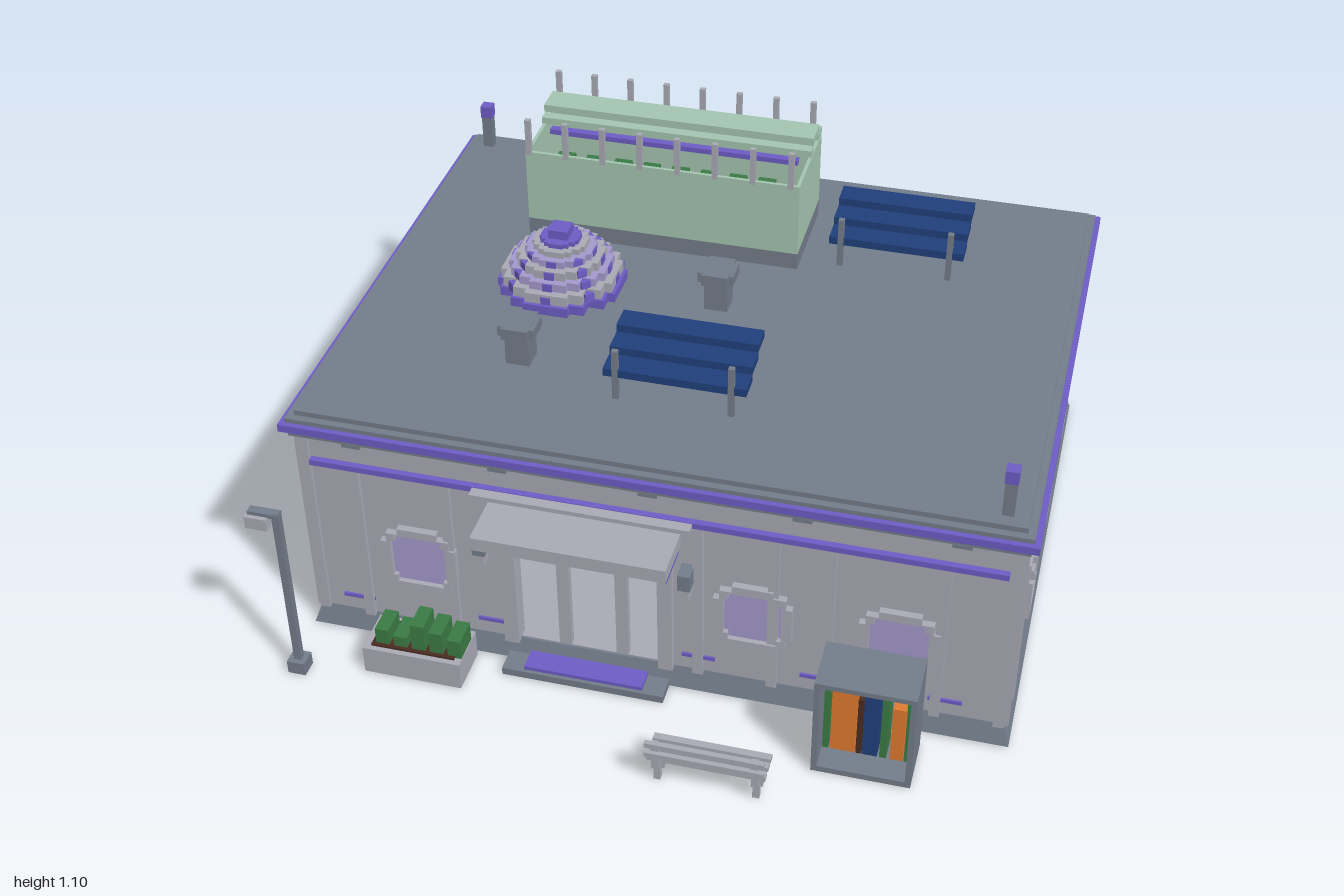
import * as THREE from 'three';

const mat = (name, color) => {
  const m = new THREE.MeshStandardMaterial({ color });
  m.name = name;
  return m;
};
const M = {
  wall: mat('light grey', 0xa8a9b4),
  slate: mat('slate', 0x737c8a),
  purple: mat('purple', 0x6d5cc4),
  glass: mat('lavender glass', 0xa499cc),
  mint: mat('mint green', 0xa3c4af),
  leaf: mat('leaf green', 0x3a7a44),
  navy: mat('navy', 0x213f7a),
  orange: mat('orange', 0xe07a30),
  soil: mat('soil brown', 0x4a2c22),
  dark: mat('neutral grey', 0x949494),
};

// Box given by its minimum and maximum corners
function box(parent, name, material, x0, x1, y0, y1, z0, z1) {
  const m = new THREE.Mesh(new THREE.BoxGeometry(x1 - x0, y1 - y0, z1 - z0), material);
  m.position.set((x0 + x1) / 2, (y0 + y1) / 2, (z0 + z1) / 2);
  m.name = name;
  parent.add(m);
  return m;
}

function group(parent, name, x = 0, y = 0, z = 0, ry = 0) {
  const g = new THREE.Group();
  g.name = name;
  g.position.set(x, y, z);
  g.rotation.y = ry;
  parent.add(g);
  return g;
}

// Stepped round outline made from one quadrant of stairs
function stepped(Type, stairs) {
  const quarter = [];
  stairs.forEach(([x, y], i) => {
    quarter.push([x, y]);
    if (i < stairs.length - 1) quarter.push([stairs[i + 1][0], y]);
  });
  const rev = [...quarter].reverse();
  const pts = [
    ...quarter, ...rev.map(([x, y]) => [-x, y]),
    ...quarter.map(([x, y]) => [-x, -y]), ...rev.map(([x, y]) => [x, -y]),
  ];
  return new Type(pts.map(([x, y]) => new THREE.Vector2(x, y)));
}
const OUTER = [[0.105, 0.055], [0.088, 0.085], [0.055, 0.105]];
const INNER = [[0.077, 0.06], [0.065, 0.08]];

function roundWindow(parent, u) {
  const g = group(parent, 'window', u, 0.295, 0);
  const shape = stepped(THREE.Shape, OUTER);
  shape.holes.push(stepped(THREE.Path, INNER));
  const frame = new THREE.Mesh(new THREE.ExtrudeGeometry(shape, { depth: 0.02, bevelEnabled: false }), M.wall);
  frame.name = 'windowFrame';
  g.add(frame);
  box(g, 'windowPane', M.glass, -0.08, 0.08, -0.082, 0.082, 0, 0.006);
}

// Trim of one wall; u runs to the right as seen from outside
function wallTrim(parent, name, pos, ry, half, windows, ribs, dashes, bandMat) {
  const g = group(parent, name, pos[0], 0, pos[1], ry);
  windows.forEach(u => roundWindow(g, u));
  ribs.forEach(u => box(g, 'wallRib', M.wall, u - 0.014, u + 0.014, 0.06, 0.575, 0, 0.014));
  dashes.forEach(u => box(g, 'baseDash', M.purple, u - 0.045, u + 0.045, 0.109, 0.12, 0, 0.006));
  box(g, 'upperBand', bandMat, -half + 0.03, half - 0.03, 0.573, 0.59, 0, 0.018);
  for (const s of [-1, 1]) box(g, 'cornerPilaster', M.wall, s * (half - 0.013) - 0.015, s * (half - 0.013) + 0.015, 0.06, 0.66, -0.01, 0.012);
  for (let i = -2; i <= 2; i++) box(g, 'corniceBracket', M.slate, i * half * 0.42 - 0.025, i * half * 0.42 + 0.025, 0.65, 0.662, 0, 0.016);
}

function building(root) {
  const g = group(root, 'building');
  // Plinth with sloping sides
  const plinth = box(g, 'plinth', M.slate, -0.95, 0.985, 0.004, 0.065, -0.93, 0.58);
  const p = plinth.geometry.attributes.position;
  for (let i = 0; i < p.count; i++) if (p.getY(i) > 0) p.setXYZ(i, p.getX(i) * 0.978, p.getY(i), p.getZ(i) * 0.975);
  plinth.geometry.computeVertexNormals();
  // Underside with inlaid plates, and the floor
  box(g, 'underside', M.dark, -0.92, 0.955, 0.002, 0.004, -0.9, 0.55);
  box(g, 'undersidePlate', M.wall, 0.32, 0.56, 0, 0.002, -0.27, -0.08);
  box(g, 'undersidePlate', M.purple, -0.72, -0.44, 0, 0.002, -0.34, -0.14);
  for (const x of [-0.7, -0.25, 0.2, 0.65]) for (const z of [-0.6, 0.1, 0.4]) box(g, 'undersideStud', M.purple, x - 0.02, x + 0.02, 0, 0.002, z - 0.015, z + 0.015);
  box(g, 'floor', M.wall, -0.9, 0.93, 0.06, 0.067, -0.89, 0.555);
  // Walls with a doorway in front
  box(g, 'rightWall', M.wall, 0.935, 0.965, 0.06, 0.67, -0.915, 0.56);
  box(g, 'leftWall', M.wall, -0.93, -0.9, 0.06, 0.67, -0.915, 0.56);
  box(g, 'backWall', M.wall, -0.93, 0.965, 0.06, 0.67, -0.915, -0.885);
  box(g, 'frontWall', M.wall, -0.93, -0.35, 0.06, 0.67, 0.53, 0.56);
  box(g, 'frontWall', M.wall, 0.04, 0.965, 0.06, 0.67, 0.53, 0.56);
  box(g, 'doorLintel', M.wall, -0.35, 0.04, 0.49, 0.67, 0.53, 0.56);
  const sideW = [-0.22, 0.175, 0.57], sideR = [-0.45, -0.035, 0.21, 0.38, 0.81];
  wallTrim(g, 'frontTrim', [0.0175, 0.56], 0, 0.9475, [-0.637, 0.277, 0.66],
    [-0.8, -0.55, 0.13, 0.33, 0.475, 0.765], [-0.83, -0.44, 0.13, 0.45, 0.79], M.purple);
  wallTrim(g, 'backTrim', [0.0175, -0.915], Math.PI, 0.9475, [-0.635, -0.235, 0.17, 0.58],
    [-0.84, -0.435, -0.03, 0.375, 0.785], [-0.85, -0.65, -0.45, -0.25, -0.05, 0.15, 0.35, 0.55, 0.75], M.purple);
  wallTrim(g, 'rightTrim', [0.965, -0.1775], Math.PI / 2, 0.7375, sideW.map(u => u - 0.1775),
    sideR.map(u => u - 0.1775), [], M.wall);
  wallTrim(g, 'leftTrim', [-0.93, -0.1775], -Math.PI / 2, 0.7375, sideW.map(u => 0.1775 - u),
    sideR.map(u => 0.1775 - u), [-0.6, -0.3, 0, 0.3, 0.6], M.wall);
  // Roof layers
  box(g, 'cornice', M.slate, -0.95, 0.98, 0.66, 0.68, -0.925, 0.575);
  box(g, 'roofTrim', M.purple, -0.97, 1.0, 0.68, 0.702, -0.945, 0.59);
  box(g, 'roof', M.slate, -0.955, 0.985, 0.702, 0.715, -0.93, 0.575);
  box(g, 'roofTop', M.slate, -0.935, 0.965, 0.715, 0.73, -0.91, 0.555);
  // Display cabinets and back wall window inside
  box(g, 'innerPane', M.glass, -0.23, -0.08, 0.22, 0.38, -0.885, -0.879);
  [-0.31, -0.16, 0].forEach((x, i) => {
    box(g, 'cabinetBase', M.wall, x - 0.04, x + 0.04, 0.067, 0.17, -0.7, -0.55);
    box(g, 'cabinet', M.slate, x - 0.04, x + 0.04, 0.17, 0.25, -0.7, -0.55);
    box(g, 'cabinetTop', M.slate, x - 0.04, x + 0.04, 0.255, 0.285, -0.7, -0.55);
    box(g, 'cabinetItem', i === 2 ? M.orange : M.leaf, x - 0.005, x + 0.02, 0.285, 0.305, -0.64, -0.61);
  });
  box(g, 'cabinetLabel', M.orange, -0.03, 0.0, 0.18, 0.21, -0.55, -0.545);
}

function entrance(root) {
  const g = group(root, 'entrance');
  for (const x of [-0.37, 0.06]) box(g, 'doorPost', M.wall, x - 0.02, x + 0.02, 0.06, 0.49, 0.53, 0.58);
  for (const x of [-0.225, -0.065]) box(g, 'doorMullion', M.wall, x - 0.017, x + 0.017, 0.06, 0.49, 0.535, 0.555);
  box(g, 'transom', M.wall, -0.35, 0.04, 0.435, 0.45, 0.535, 0.555);
  box(g, 'canopy', M.wall, -0.415, 0.1, 0.495, 0.535, 0.56, 0.71);
  box(g, 'canopyBar', M.wall, -0.45, 0.135, 0.575, 0.588, 0.56, 0.608);
  box(g, 'canopyStrip', M.purple, -0.415, 0.1, 0.486, 0.495, 0.58, 0.7);
  box(g, 'step', M.slate, -0.38, 0.07, 0, 0.022, 0.56, 0.645);
  box(g, 'doorMat', M.purple, -0.32, 0.01, 0.022, 0.033, 0.57, 0.635);
  box(g, 'stepUnderside', M.purple, -0.35, 0.04, -0.002, 0, 0.59, 0.635);
  for (const x of [-0.435, 0.12]) {
    box(g, 'wallLamp', M.slate, x - 0.017, x + 0.017, 0.385, 0.435, 0.56, 0.612);
    box(g, 'wallLampBulb', M.wall, x - 0.012, x + 0.012, 0.345, 0.385, 0.57, 0.607);
  }
}

function streetItems(root) {
  // Planter
  const p = group(root, 'planter');
  box(p, 'planterBox', M.wall, -0.745, -0.47, 0, 0.085, 0.59, 0.725);
  box(p, 'planterSoil', M.soil, -0.725, -0.49, 0.085, 0.091, 0.607, 0.71);
  [0.14, 0.125, 0.175, 0.16, 0.145].forEach((h, i) => {
    const x = -0.695 + i * 0.051;
    box(p, 'planterPlant', M.leaf, x - 0.019, x + 0.019, 0.085, h, 0.62, 0.7);
  });
  // Street lamp
  const l = group(root, 'streetLamp');
  box(l, 'lampBase', M.slate, -0.945, -0.895, 0, 0.04, 0.732, 0.782);
  box(l, 'lampPole', M.slate, -0.93, -0.91, 0.04, 0.555, 0.747, 0.767);
  box(l, 'lampArm', M.slate, -0.995, -0.91, 0.54, 0.553, 0.745, 0.77);
  box(l, 'lampHead', M.wall, -1.0, -0.94, 0.505, 0.542, 0.732, 0.782);
  // Book kiosk
  const k = group(root, 'bookKiosk');
  for (const x of [0.5, 0.745]) box(k, 'kioskSide', M.slate, x, x + 0.015, 0, 0.3, 0.625, 0.78);
  box(k, 'kioskTop', M.slate, 0.5, 0.76, 0.297, 0.312, 0.625, 0.78);
  box(k, 'kioskBottom', M.slate, 0.5, 0.76, 0, 0.018, 0.625, 0.78);
  box(k, 'kioskShelf', M.orange, 0.515, 0.745, 0.2, 0.217, 0.628, 0.638);
  [[0.516, 0.016, 0.25, M.leaf], [0.536, 0.066, 0.245, M.orange], [0.604, 0.014, 0.21, M.soil], [0.62, 0.04, 0.225, M.navy],
    [0.666, 0.018, 0.25, M.leaf], [0.693, 0.034, 0.2, M.orange], [0.73, 0.015, 0.25, M.leaf]]
    .forEach(([x, w, h, m]) => box(k, 'book', m, x, x + w, 0.018, h, 0.64, 0.71));
  // Bench
  const b = group(root, 'bench');
  for (const x of [0.125, 0.385]) {
    for (const z of [0.86, 0.9]) box(b, 'benchLeg', M.wall, x - 0.009, x + 0.009, 0, 0.075, z - 0.008, z + 0.008);
    box(b, 'benchPost', M.wall, x - 0.009, x + 0.009, 0.06, 0.15, 0.915, 0.928);
  }
  for (const z of [0.842, 0.872, 0.906]) box(b, 'seatSlat', M.wall, 0.1, 0.41, 0.074, 0.088, z - 0.01, z + 0.01);
  for (const y of [0.108, 0.141]) box(b, 'backSlat', M.wall, 0.1, 0.41, y, y + 0.015, 0.925, 0.938);
}

function roofItems(root) {
  // Corner beacons
  for (const [x, z] of [[-0.882, -0.86], [0.91, 0.505]]) {
    box(root, 'beaconPost', M.slate, x - 0.015, x + 0.015, 0.728, 0.83, z - 0.015, z + 0.015);
    box(root, 'beaconLight', M.purple, x - 0.017, x + 0.017, 0.83, 0.868, z - 0.017, z + 0.017);
  }
  // Stepped dome
  const d = group(root, 'dome', -0.435, 0.728, -0.185);
  [[0.17, 0.03, M.purple], [0.16, 0.03, M.wall], [0.138, 0.025, M.glass], [0.118, 0.025, M.wall],
    [0.095, 0.02, M.glass], [0.075, 0.017, M.wall], [0.055, 0.013, M.purple]].reduce((y, [r, h, m]) => {
    const ring = new THREE.Mesh(new THREE.ExtrudeGeometry(
      stepped(THREE.Shape, [[r, r * 0.38], [r * 0.88, r * 0.62], [r * 0.62, r * 0.88], [r * 0.38, r]]),
      { depth: h, bevelEnabled: false }), m);
    ring.rotation.x = -Math.PI / 2;
    ring.position.y = y;
    ring.name = 'domeRing';
    d.add(ring);
    return y + h;
  }, 0);
  box(d, 'domeFinial', M.purple, -0.028, 0.028, 0.16, 0.186, -0.028, 0.028);
  for (let i = 0; i < 8; i++) {
    const rib = group(d, 'domeRib', 0, 0, 0, i * Math.PI / 4);
    [[0.162, 0.045], [0.142, 0.075], [0.122, 0.1], [0.099, 0.12]].forEach(([x, y]) =>
      box(rib, 'domeStud', M.purple, x - 0.02, x, y - 0.02, y + 0.008, -0.014, 0.014));
  }
  // Vents
  for (const [x, z] of [[-0.435, 0.19], [0.015, -0.185]]) {
    box(root, 'ventStem', M.slate, x - 0.033, x + 0.033, 0.728, 0.82, z - 0.033, z + 0.033);
    box(root, 'ventCap', M.slate, x - 0.05, x + 0.05, 0.82, 0.85, z - 0.037, z + 0.037);
    box(root, 'ventCap', M.slate, x - 0.037, x + 0.037, 0.818, 0.852, z - 0.05, z + 0.05);
  }
  // Solar panels, three stepped slats each
  for (const [x, z] of [[-0.175, 0.3], [0.27, -0.46]]) {
    const s = group(root, 'solarPanel', x, 0, z);
    for (let i = 0; i < 3; i++) box(s, 'solarSlat', M.navy, 0, 0.382, 0.798 + i * 0.023, 0.821 + i * 0.023, -0.205 + (2 - i) * 0.068, -0.135 + (2 - i) * 0.068);
    for (const u of [0.033, 0.342]) {
      box(s, 'panelPost', M.slate, u - 0.008, u + 0.008, 0.728, 0.88, -0.012, 0.004);
      box(s, 'panelStrut', M.slate, u - 0.008, u + 0.008, 0.728, 0.85, -0.16, -0.145);
    }
  }
  // Greenhouse
  const g = group(root, 'greenhouse');
  box(g, 'greenhouseBase', M.slate, -0.605, 0.19, 0.728, 0.78, -0.713, -0.408);
  box(g, 'greenhouseFloor', M.mint, -0.6, 0.185, 0.78, 0.8, -0.708, -0.413);
  box(g, 'frontPane', M.mint, -0.605, 0.19, 0.78, 1.0, -0.418, -0.408);
  box(g, 'backPane', M.mint, -0.605, 0.19, 0.78, 1.0, -0.713, -0.703);
  for (const x of [-0.605, 0.18]) box(g, 'sidePane', M.mint, x, x + 0.01, 0.78, 1.0, -0.703, -0.418);
  box(g, 'roofSlat', M.mint, -0.605, 0.19, 1.005, 1.025, -0.713, -0.665);
  box(g, 'roofSlat', M.mint, -0.605, 0.19, 1.03, 1.052, -0.675, -0.59);
  box(g, 'roofSlat', M.mint, -0.605, 0.19, 1.005, 1.025, -0.597, -0.565);
  box(g, 'growLight', M.purple, -0.575, 0.155, 0.985, 1.0, -0.568, -0.545);
  for (let i = 0; i < 8; i++) {
    const x = -0.595 + i * 0.1085, u = -0.525 + i * 0.085;
    for (const z of [-0.413, -0.708]) box(g, 'greenhousePost', M.wall, x - 0.008, x + 0.008, 0.99, 1.102, z - 0.007, z + 0.007);
    box(g, 'plantPot', M.soil, u - 0.028, u + 0.028, 0.8, 0.86, -0.545, -0.463);
    box(g, 'greenhousePlant', M.leaf, u - 0.025, u + 0.025, 0.86, 0.93, -0.55, -0.475);
  }
}

export function createModel() {
  const root = new THREE.Group();
  root.name = 'communityBuilding';
  building(root);
  entrance(root);
  streetItems(root);
  roofItems(root);
  return root;
}
